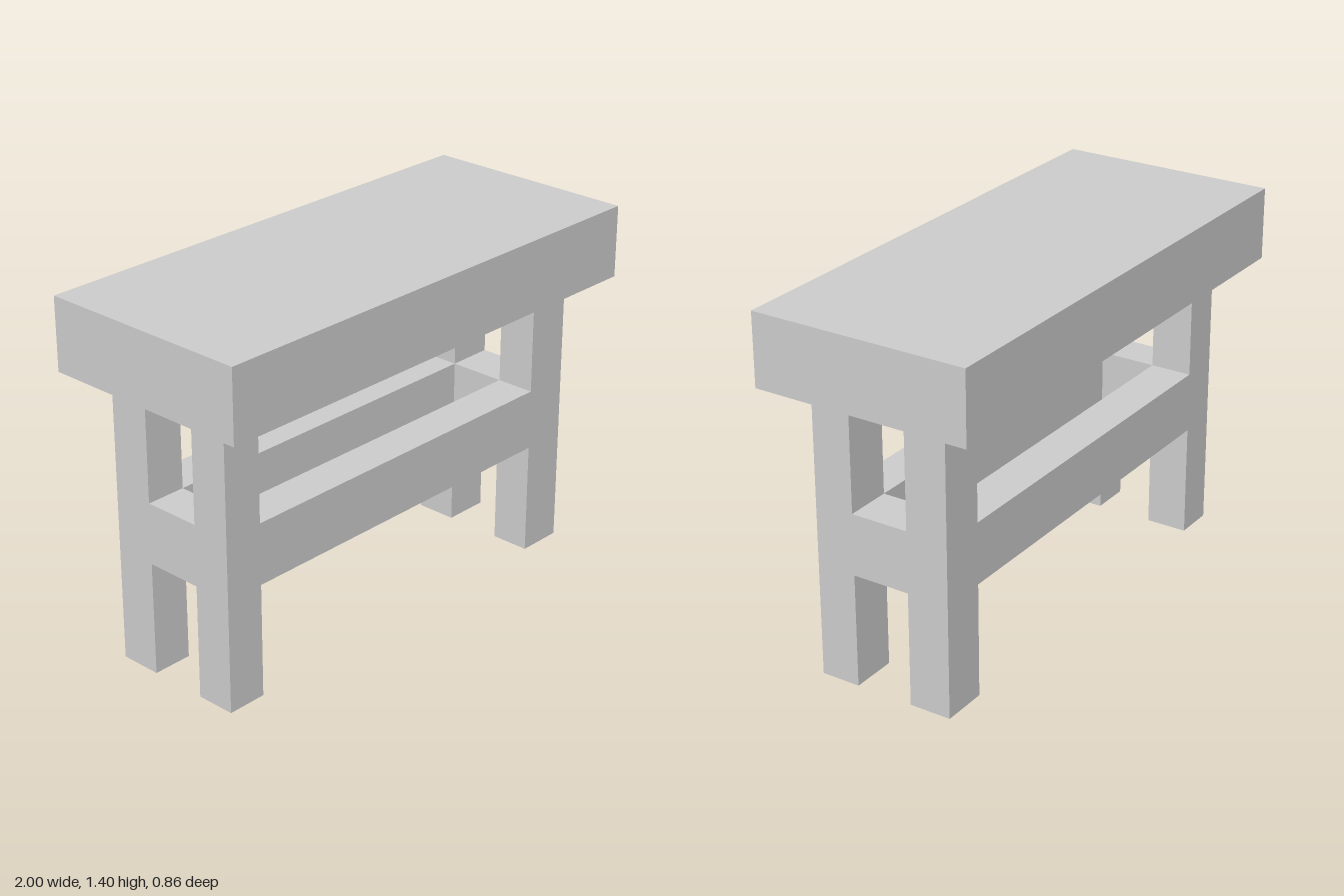
import * as THREE from 'three';

export function createModel() {
  const model = new THREE.Group();
  model.name = 'bench';
  const material = new THREE.MeshStandardMaterial({ color: 0xcccccc, flatShading: true });

  // Box given by its [min, max] extent along each axis
  function addBox(name, [x0, x1], [y0, y1], [z0, z1]) {
    const mesh = new THREE.Mesh(new THREE.BoxGeometry(x1 - x0, y1 - y0, z1 - z0), material);
    mesh.position.set((x0 + x1) / 2, (y0 + y1) / 2, (z0 + z1) / 2);
    mesh.name = name;
    model.add(mesh);
  }

  const seatBottom = 1.116;
  const railHeight = [0.445, 0.684];
  const sides = { right: [-0.898, -0.74], left: [0.716, 0.898] };
  const ends = { Front: [0.12, 0.275], Back: [-0.272, -0.107] };

  // Thick slab seat
  addBox('seat', [-1, 1], [seatBottom, 1.397], [-0.428, 0.43]);

  // Four square legs
  for (const [side, x] of Object.entries(sides))
    for (const [end, z] of Object.entries(ends))
      addBox(`${side}${end}Leg`, x, [0, seatBottom], z);

  // Long rails, flush with the legs
  for (const [end, z] of Object.entries(ends))
    addBox(`long${end}Rail`, [sides.right[1], sides.left[0]], railHeight, z);

  // Short rails joining the legs at each side
  for (const [side, x] of Object.entries(sides))
    addBox(`${side}ShortRail`, x, railHeight, [ends.Back[1], ends.Front[0]]);

  return model;
}
